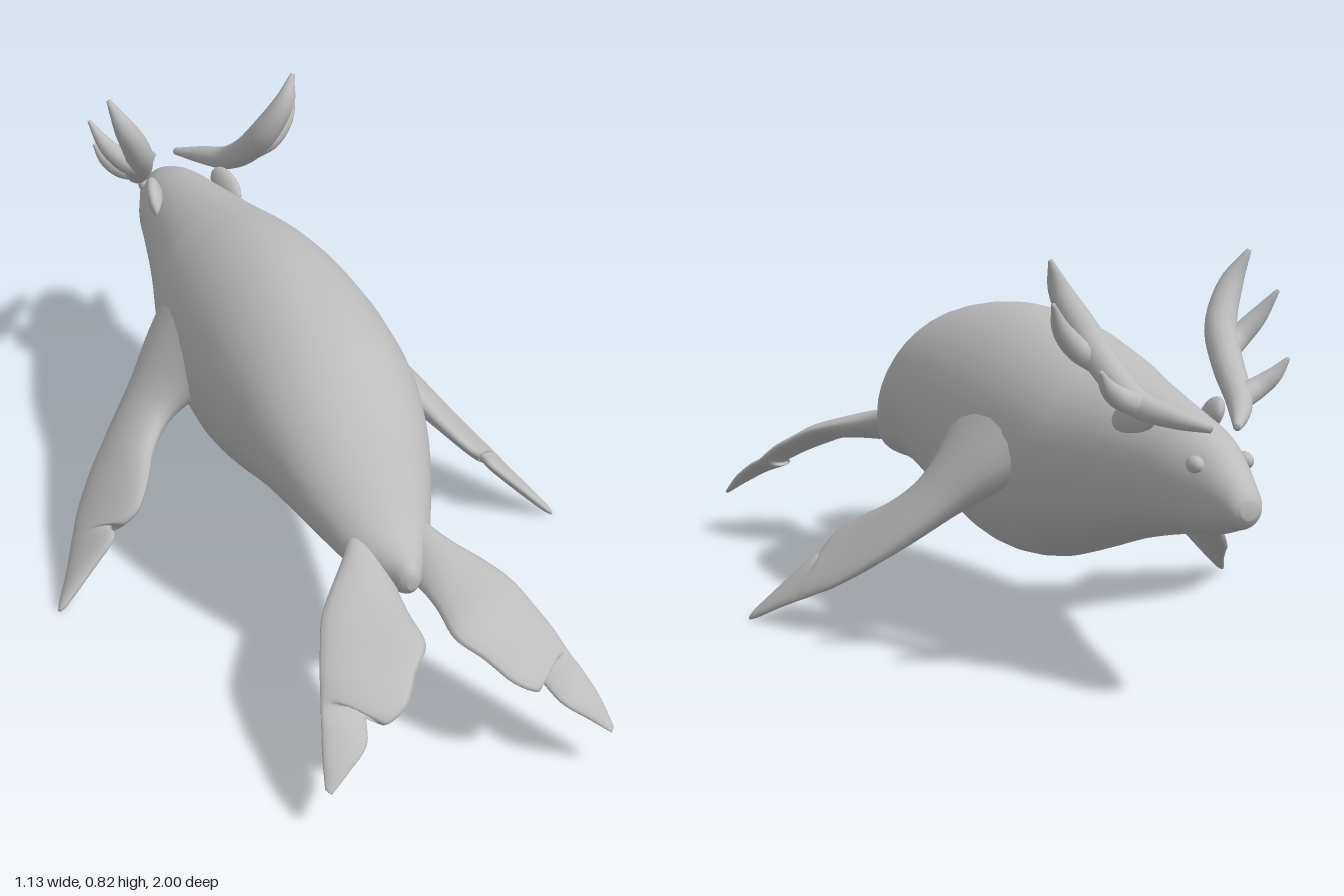
import * as THREE from 'three';

const V = (x, y, z) => new THREE.Vector3(x, y, z);
const spline = (pts) => new THREE.CatmullRomCurve3(pts, false, 'catmullrom', 0.5);

// Closed smooth skin over a list of equal-length rings, faces turned outward
function loft(rings) {
  const n = rings[0].length, pos = [], idx = [];
  rings.forEach((r) => r.forEach((p) => pos.push(p.x, p.y, p.z)));
  for (let i = 0; i < rings.length - 1; i++) {
    for (let j = 0; j < n; j++) {
      const a = i * n + j, b = i * n + (j + 1) % n;
      idx.push(a, b, a + n, b, b + n, a + n);
    }
  }
  [0, rings.length - 1].forEach((i) => {
    const c = rings[i].reduce((s, p) => s.add(p), V(0, 0, 0)).divideScalar(n);
    const k = pos.length / 3;
    pos.push(c.x, c.y, c.z);
    for (let j = 0; j < n; j++) {
      const a = i * n + j, b = i * n + (j + 1) % n;
      if (i === 0) idx.push(k, b, a); else idx.push(k, a, b);
    }
  });
  // signed volume decides the winding
  let vol = 0;
  const at = (i) => V(pos[3 * i], pos[3 * i + 1], pos[3 * i + 2]);
  for (let i = 0; i < idx.length; i += 3) vol += at(idx[i]).dot(at(idx[i + 1]).cross(at(idx[i + 2])));
  if (vol < 0) idx.reverse();
  const g = new THREE.BufferGeometry();
  g.setAttribute('position', new THREE.Float32BufferAttribute(pos, 3));
  g.setIndex(idx);
  g.computeVertexNormals();
  return g;
}

// Ellipse ring spanned by two half axes
function ring(c, u, v, n) {
  return Array.from({ length: n }, (_, j) => {
    const a = (j / n) * Math.PI * 2;
    return c.clone().addScaledVector(u, Math.cos(a)).addScaledVector(v, Math.sin(a));
  });
}

// Body from rows of [z, top, bottom, half width]
function bodyGeometry(rows) {
  const top = spline(rows.map(([z, t]) => V(0, t, z)));
  const low = spline(rows.map(([z, , b]) => V(0, b, z)));
  const side = spline(rows.map(([z, , , w]) => V(w, 0, z)));
  const rings = [], N = 90;
  for (let i = 0; i <= N; i++) {
    const a = top.getPoint(i / N), b = low.getPoint(i / N);
    const c = a.clone().add(b).multiplyScalar(0.5);
    rings.push(ring(c, V(side.getPoint(i / N).x, 0, 0), a.sub(c), 40));
  }
  return loft(rings);
}

// Blade between a leading and a trailing edge; normal gives the thickness direction
function bladeGeometry(lead, trail, normal, thick, s) {
  const L = spline(lead), T = spline(trail), H = spline(thick.map((t, i) => V(t, i, 0)));
  const rings = [], N = 60;
  const flip = (p) => p.set(p.x * s, p.y, p.z);
  for (let i = 0; i <= N; i++) {
    const a = flip(L.getPoint(i / N)), b = flip(T.getPoint(i / N));
    const c = a.clone().add(b).multiplyScalar(0.5);
    const v = flip(normal.clone().normalize()).multiplyScalar(H.getPoint(i / N).x / 2);
    rings.push(ring(c, a.sub(c), v, 20));
  }
  return loft(rings);
}

// Tapered horn along a path, with one radius for each path point
function hornGeometry(pts, radii, s) {
  const path = spline(pts.map(([x, y, z]) => V(x * s, y, z)));
  const rad = spline(radii.map((r, i) => V(r, i, 0)));
  const rings = [], N = 28;
  let u = V(0, 0, 1);
  for (let i = 0; i <= N; i++) {
    const t = path.getTangent(i / N);
    u = u.clone().addScaledVector(t, -u.dot(t)).normalize();
    const r = rad.getPoint(i / N).x;
    rings.push(ring(path.getPoint(i / N), u.clone().multiplyScalar(r), t.clone().cross(u).multiplyScalar(r), 14));
  }
  return loft(rings);
}

export function createModel() {
  const model = new THREE.Group();
  const grey = new THREE.MeshStandardMaterial({ color: 0xbcbcbc });
  grey.name = 'hide grey';
  const add = (name, geo) => {
    const m = new THREE.Mesh(geo, grey);
    m.name = name;
    model.add(m);
    return m;
  };

  // Torso, neck, snout and tail stub in one skin
  add('body', bodyGeometry([
    [-1, 0.415, 0.38, 0.018], [-0.985, 0.437, 0.362, 0.034], [-0.95, 0.465, 0.35, 0.046],
    [-0.9, 0.5, 0.335, 0.062], [-0.82, 0.532, 0.32, 0.088], [-0.72, 0.553, 0.3, 0.108],
    [-0.6, 0.577, 0.27, 0.133], [-0.5, 0.597, 0.24, 0.157], [-0.4, 0.62, 0.208, 0.182],
    [-0.25, 0.65, 0.165, 0.202], [-0.1, 0.663, 0.154, 0.21], [0.05, 0.657, 0.188, 0.208],
    [0.2, 0.63, 0.232, 0.195], [0.3, 0.592, 0.247, 0.176], [0.4, 0.525, 0.252, 0.148],
    [0.5, 0.436, 0.247, 0.108], [0.57, 0.376, 0.246, 0.076], [0.63, 0.348, 0.262, 0.04],
    [0.66, 0.338, 0.275, 0.024], [0.672, 0.322, 0.29, 0.01],
  ]));

  // Front flippers: [lead x, lead z, trail x, trail z, thickness]
  const fore = [
    [0.12, -0.42, 0.14, -0.03, 0.16], [0.2, -0.355, 0.2, -0.085, 0.12],
    [0.27, -0.285, 0.255, -0.1, 0.085], [0.35, -0.22, 0.3, -0.06, 0.065],
    [0.41, -0.165, 0.335, 0.01, 0.05], [0.46, -0.1, 0.37, 0.06, 0.04],
    [0.48, -0.06, 0.405, 0.06, 0.036], [0.495, -0.03, 0.425, 0.03, 0.032],
    [0.505, -0.01, 0.43, 0.07, 0.03], [0.53, 0.04, 0.49, 0.092, 0.025],
    [0.556, 0.085, 0.545, 0.11, 0.016], [0.566, 0.105, 0.562, 0.112, 0.006],
  ];
  const slope = (x) => 0.325 - 0.96 * (x - 0.24);

  // Hind flippers: [lead x, y, z, trail x, y, z, thickness]
  const hind = [
    [0.06, 0.34, 0.48, 0.0, 0.3, 0.54, 0.09], [0.1, 0.325, 0.56, 0.022, 0.29, 0.64, 0.075],
    [0.16, 0.305, 0.64, 0.03, 0.28, 0.73, 0.055], [0.2, 0.285, 0.7, 0.03, 0.265, 0.82, 0.045],
    [0.225, 0.255, 0.76, 0.07, 0.24, 0.87, 0.038], [0.24, 0.235, 0.8, 0.11, 0.21, 0.925, 0.034],
    [0.25, 0.215, 0.83, 0.16, 0.185, 0.935, 0.03], [0.26, 0.195, 0.86, 0.175, 0.187, 0.88, 0.028],
    [0.27, 0.18, 0.89, 0.2, 0.16, 0.95, 0.025], [0.286, 0.145, 0.94, 0.25, 0.128, 0.982, 0.02],
    [0.297, 0.105, 0.985, 0.288, 0.1, 0.998, 0.006],
  ];

  for (const [side, s] of [['left', 1], ['right', -1]]) {
    add(side + ' front flipper', bladeGeometry(
      fore.map((r) => V(r[0], slope(r[0]), r[1])),
      fore.map((r) => V(r[2], slope(r[2]), r[3])),
      V(0.69, 0.72, 0), fore.map((r) => r[4]), s));

    add(side + ' hind flipper', bladeGeometry(
      hind.map((r) => V(r[0], r[1], r[2])),
      hind.map((r) => V(r[3], r[4], r[5])),
      V(0.4, 0.85, 0.35), hind.map((r) => r[6]), s));

    // Antler beam sweeping back and up, with two outward tines
    add(side + ' antler beam', hornGeometry([
      [0.028, 0.535, -0.9], [0.07, 0.548, -0.835], [0.108, 0.568, -0.76], [0.128, 0.62, -0.68],
      [0.148, 0.685, -0.618], [0.185, 0.76, -0.592], [0.215, 0.825, -0.608],
    ], [0.008, 0.02, 0.027, 0.031, 0.032, 0.024, 0.005], s));
    add(side + ' lower tine', hornGeometry([
      [0.095, 0.56, -0.775], [0.145, 0.58, -0.765], [0.178, 0.605, -0.775], [0.2, 0.638, -0.79],
    ], [0.024, 0.022, 0.016, 0.004], s));
    add(side + ' upper tine', hornGeometry([
      [0.135, 0.635, -0.655], [0.175, 0.66, -0.64], [0.213, 0.7, -0.65], [0.242, 0.752, -0.675],
    ], [0.027, 0.024, 0.018, 0.004], s));

    // Leaf-shaped ear below the antler
    const ear = add(side + ' ear', new THREE.SphereGeometry(1, 20, 14));
    ear.scale.set(0.018, 0.034, 0.06);
    ear.position.set(0.085, 0.525, -0.7);
    ear.rotation.set(0.3, s * 0.2, -s * 0.4);
    ear.position.x *= s;

    // Eye bulge
    const eye = add(side + ' eye', new THREE.SphereGeometry(1, 16, 12));
    eye.scale.set(0.016, 0.017, 0.024);
    eye.position.set(s * 0.052, 0.468, -0.885);
  }
  return model;
}
